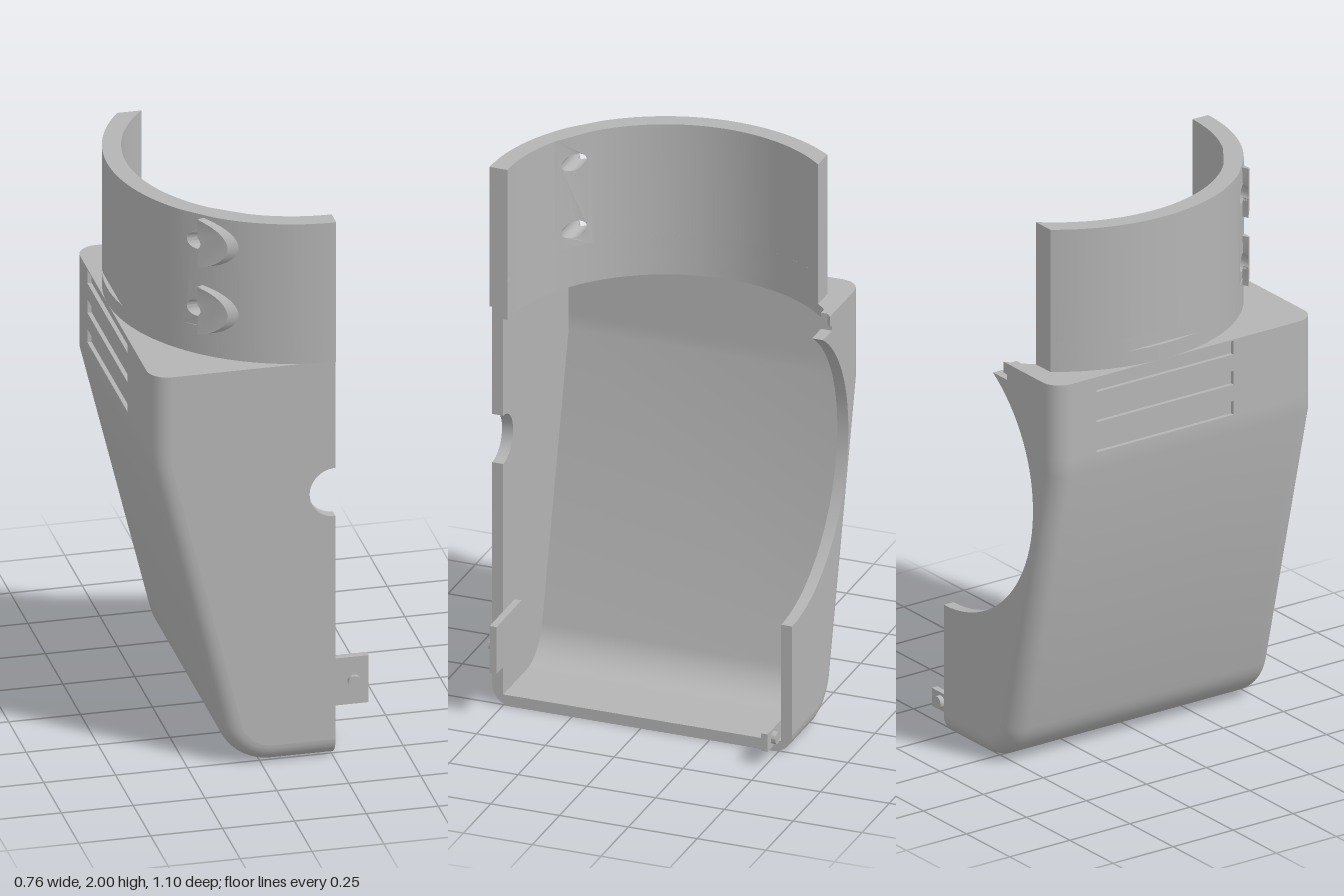
import * as THREE from 'three';
import { mergeGeometries, toCreasedNormals } from 'three/addons/utils/BufferGeometryUtils.js';

const EDGE = 0.255;                    // x of the open side
const TOP = 1.48, ROOF = 1.44;         // body top and its underside
const ZF = 0.54, ZB = -0.55;           // front and back of the body
const T = 0.04, ROUND = 0.07;          // wall thickness, edge rounding
const RI = 0.575, RO = 0.64, CZ = -0.09; // collar radii and centre z
const HOLE_Z = 0.375, HOLES = [1.65, 1.9];
const SLOT = 0.015, SLOT_H = 0.025;    // vent depth and half height

const extrude = (shape, depth, steps = 1) =>
  new THREE.ExtrudeGeometry(shape, { depth, steps, bevelEnabled: false, curveSegments: 32 });
const shapeOf = (pts) => new THREE.Shape(pts.map(([x, y]) => new THREE.Vector2(x, y)));
const arc = (cx, cy, r, a0, a1, n) => Array.from({ length: n + 1 }, (_, i) => {
  const a = a0 + (a1 - a0) * i / n;
  return [cx + r * Math.cos(a), cy + r * Math.sin(a)];
});

// Horizontal slab from an outline of [x, z] points
function slab(pts, y0, y1) {
  return extrude(shapeOf(pts.map(([x, z]) => [x, -z])), y1 - y0)
    .rotateX(-Math.PI / 2).translate(0, y0, 0);
}

// Move every vertex by a rule
function remap(geo, rule) {
  const p = geo.attributes.position;
  for (let i = 0; i < p.count; i++) p.setXYZ(i, ...rule(p.getX(i), p.getY(i), p.getZ(i)));
  return geo;
}

// Points of a circle round the collar axis between two z planes
function collarArc(r, z0, z1, n = 48) {
  const a = (z) => Math.asin(Math.max(-1, Math.min(1, (z - CZ) / r)));
  return arc(0, 0, r, a(z0), a(z1), n).map(([c, s]) => [EDGE - c, CZ + s]);
}
const collarX = (r, z) => EDGE - Math.sqrt(Math.max(0, r * r - (z - CZ) ** 2));

// Side profile, bottom to top: position, inward direction, vent flag
function profile() {
  const st = [{ x: EDGE, y: 0, mx: 0, my: 1 }];
  const r = 0.184, end = Math.PI + Math.atan(0.245);
  for (let i = 0; i <= 10; i++) {
    const a = 1.5 * Math.PI + (end - 1.5 * Math.PI) * i / 10;
    const c = Math.cos(a), s = Math.sin(a);
    st.push({ x: 0.039 + r * c, y: r + r * s, mx: -c, my: -s });
  }
  st.push({ x: -0.385, y: 1.14, mx: 1, my: 0.12 });
  const top = { x: -0.385, y: TOP, mx: 1, my: 0 };
  const vents = [1.23, 1.34, 1.45].flatMap((c) =>
    [[-1, 0], [-1, 1], [1, 1], [1, 0]].map(([k, slot]) => ({ ...top, y: c + k * SLOT_H, slot })));
  return { plain: [...st, top], full: [...st, ...vents, top] };
}

// Rounded bottom and side skin: one section swept along the profile
function skin(stations) {
  const path = [...stations].reverse();
  const section = [
    ...arc(ROUND, ZF - ROUND, ROUND, Math.PI / 2, Math.PI, 8),
    [0, 0.195], [SLOT, 0.195], [SLOT, -0.375], [0, -0.375],
    ...arc(ROUND, ZB + ROUND, ROUND, Math.PI, 1.5 * Math.PI, 8),
    [ROUND, ZB + T], [T, ZB + T], [T, ZF - T], [ROUND, ZF - T],
  ];
  const n = path.length - 1;
  return remap(extrude(shapeOf(section), n, n), (d, z, w) => {
    const s = path[Math.round(w)];
    if (!s.slot && Math.abs(d - SLOT) < 1e-5 && z < 0.2 && z > -0.38) d = 0;
    return [s.x + s.mx * d, s.y + s.my * d, z];
  });
}

// Flat wall inside the rounded edge, with its open side cut by extra points
function wall(stations, cut, z) {
  const inset = stations.map((s) => [s.x + s.mx * ROUND, s.y + s.my * ROUND]);
  return extrude(shapeOf([...inset, ...cut]), T).translate(0, 0, z);
}

// Collar band between two z planes, trimmed at xMin
function band(z0, z1, y0, y1, xMin = -1) {
  const pts = [...collarArc(RO, z0, z1), ...collarArc(RI, z0, z1).reverse()];
  return slab(pts.map(([x, z]) => [Math.max(x, xMin), z]), y0, y1);
}

export function createModel() {
  const model = new THREE.Group();
  const grey = new THREE.MeshStandardMaterial({ color: 0xb4b4b4 });
  grey.name = 'plain grey';
  const add = (name, geo) => {
    const mesh = new THREE.Mesh(toCreasedNormals(geo, Math.PI / 6), grey);
    mesh.name = name;
    model.add(mesh);
  };
  const { plain, full } = profile();

  // Body
  add('bodySkin', skin(full));
  add('frontWall', wall(plain,
    [[EDGE, TOP], ...arc(EDGE, 0.99, 0.09, Math.PI / 2, 1.5 * Math.PI, 24)], ZF - T));
  const tip = Math.PI - Math.asin(0.43 / 0.515);
  add('backWall', wall(plain,
    [[-0.11, TOP], [-0.11, 1.42], ...arc(EDGE, 0.99, 0.515, tip, 1.5 * Math.PI, 40)], ZB));
  add('bodyTop', slab([
    [-0.315, ZB], ...collarArc(RI, ZB, CZ + RI, 64),
    [EDGE, ZF - T], [-0.345, ZF - T], [-0.345, ZB + T], [-0.315, ZB + T],
  ], ROOF, TOP));

  // Half-round collar with a vent groove low down and two screw holes
  const back = -0.475, p0 = HOLE_Z - 0.04, p1 = HOLE_Z + 0.04;
  const groove = [1.56 - SLOT_H, 1.56 + SLOT_H];
  const panel = shapeOf([[p0, groove[1]], [p1, groove[1]], [p1, 2], [p0, 2]]);
  for (const y of HOLES) panel.holes.push(new THREE.Path().absarc(HOLE_Z, y, 0.03, 0, 2 * Math.PI, true));
  add('collar', mergeGeometries([
    band(back, CZ + RO, TOP, groove[0]),
    band(back, CZ + RO, groove[0], groove[1], -0.37),
    band(back, p0, groove[1], 2),
    band(p1, CZ + RO, groove[1], 2),
    remap(extrude(panel, 1), (z, y, w) => [collarX(w > 0.5 ? RO : RI, z), y, z]),
  ]));

  // Half-disc pads beside the screw holes
  for (const y0 of HOLES) {
    const h = Math.PI / 2;
    const pad = shapeOf([...arc(HOLE_Z, y0, 0.09, -h, h, 24), ...arc(HOLE_Z, y0, 0.03, h, -h, 12)]);
    add('screwPad', remap(extrude(pad, 1), (z, y, w) => {
      const zz = w > 0.5 ? Math.max(z, 0.397) : z;
      return [collarX(w > 0.5 ? 0.66 : 0.61, zz), y, zz];
    }));
  }

  // Locating tabs with pins on their outer faces
  const tab = (name, y0, y1, z0, z1, side) => {
    add(name, new THREE.BoxGeometry(0.23, y1 - y0, z1 - z0)
      .translate(0.265, (y0 + y1) / 2, (z0 + z1) / 2));
    add(name + 'Pin', new THREE.CylinderGeometry(0.022, 0.022, 0.018, 24).rotateX(Math.PI / 2)
      .translate(0.328, (y0 + y1) / 2, (side > 0 ? z1 : z0) + side * 0.008));
  };
  tab('frontTab', 0.175, 0.35, 0.475, 0.5, 1);
  tab('backTab', 0.055, 0.12, -0.51, -0.487, -1);

  return model;
}
